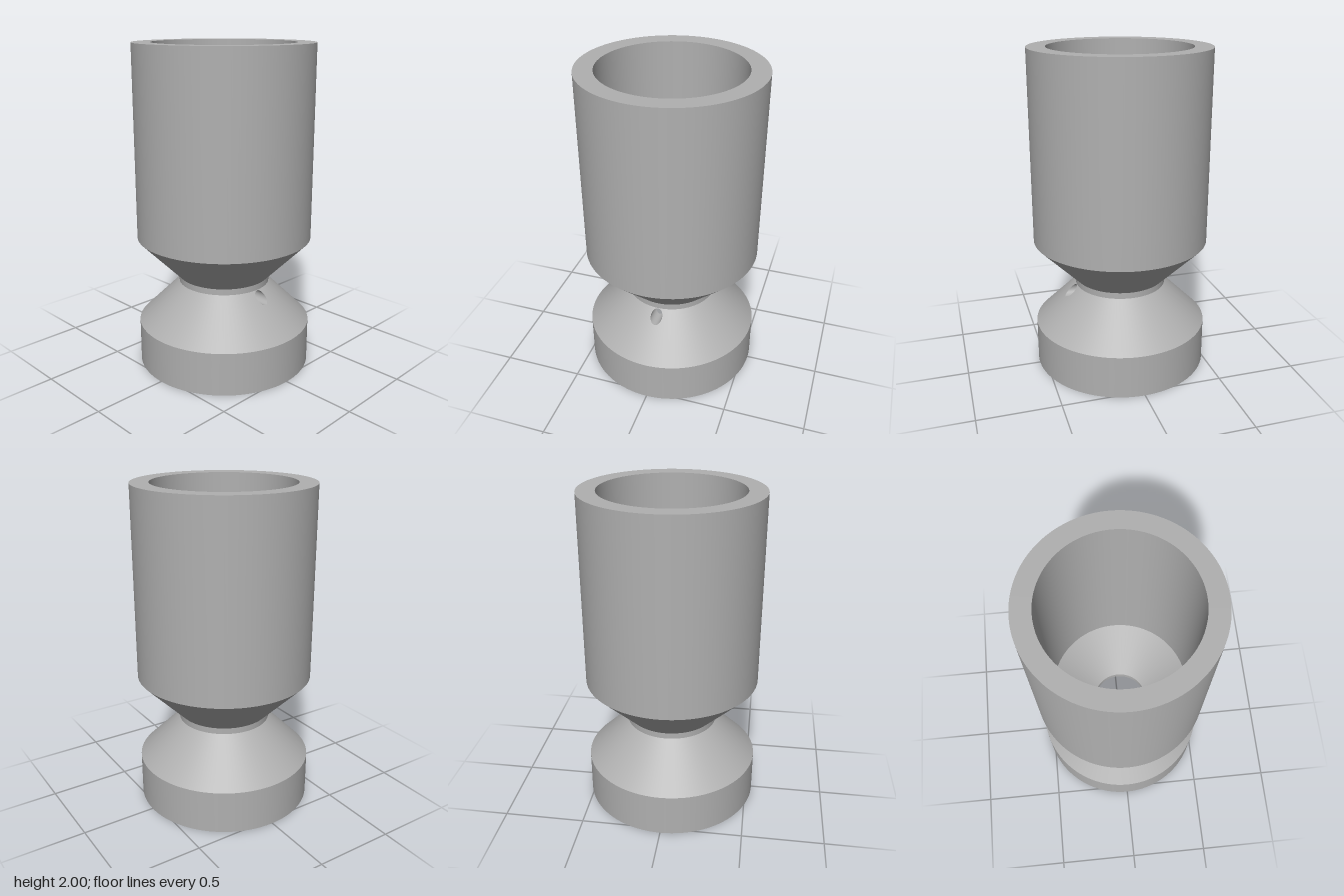
import * as THREE from 'three';
import { ParametricGeometry } from 'three/addons/geometries/ParametricGeometry.js';

const SEGMENTS = 96;
const SECTOR = (Math.PI * 2 * 6) / SEGMENTS; // half angle of the drilled cone sector
const LOW = 0.27, NECK = 0.525; // heights of the lower cone
const HOLE_Y = 0.486, HOLE_R = 0.037;

// Cone radii by height, outside and inside
const outerR = (y) => THREE.MathUtils.mapLinear(y, LOW, NECK, 0.541, 0.284);
const innerR = (y) => THREE.MathUtils.mapLinear(y, LOW, NECK, 0.429, 0.172);

export function createModel() {
  const group = new THREE.Group();
  const grey = new THREE.MeshStandardMaterial({ color: 0xb0b0b0, side: THREE.DoubleSide });
  grey.name = 'grey';

  const add = (name, geometry) => {
    const mesh = new THREE.Mesh(geometry, grey);
    mesh.name = name;
    group.add(mesh);
  };

  // One straight band of the turned body, so every edge stays sharp
  const band = (name, r0, y0, r1, y1, start = 0, length = Math.PI * 2) => {
    const points = [new THREE.Vector2(r0, y0), new THREE.Vector2(r1, y1)];
    add(name, new THREE.LatheGeometry(points, SEGMENTS, start, length));
  };

  // Outside, from the base up
  band('baseWall', 0.541, 0, 0.541, LOW);
  band('neckWall', 0.284, NECK, 0.284, 0.563);
  band('upperCone', 0.284, 0.563, 0.541, 0.822);
  band('cupWall', 0.541, 0.822, 0.541, 2);

  // Rim and inside, from the top down
  band('topRim', 0.541, 2, 0.429, 2);
  band('cupInside', 0.429, 2, 0.429, 0.822);
  band('funnelInside', 0.429, 0.822, 0.172, 0.563);
  band('neckBore', 0.172, 0.563, 0.172, NECK);
  band('baseInside', 0.429, LOW, 0.429, 0);
  band('bottomRim', 0.429, 0, 0.541, 0);

  // Lower cones, leaving out the drilled sector on the +x side
  const start = Math.PI / 2 + SECTOR, length = 2 * (Math.PI - SECTOR);
  band('lowerCone', 0.541, LOW, 0.284, NECK, start, length);
  band('lowerConeInside', 0.172, NECK, 0.429, LOW, start, length);

  // Cone sector with a round hole: blends from the hole edge to the sector border
  const drilledSector = (name, radius, direction) => {
    add(name, new ParametricGeometry((u, v, target) => {
      const a = direction * u * Math.PI * 2;
      const c = Math.cos(a), s = Math.sin(a), k = 1 / Math.max(Math.abs(c), Math.abs(s));
      const holeY = HOLE_Y + HOLE_R * s;
      const holeAngle = Math.asin((HOLE_R * c) / radius(holeY));
      const angle = THREE.MathUtils.lerp(holeAngle, SECTOR * c * k, v);
      const y = THREE.MathUtils.lerp(holeY, (LOW + NECK) / 2 + ((NECK - LOW) / 2) * s * k, v);
      const r = radius(y);
      target.set(r * Math.cos(angle), y, r * Math.sin(angle));
    }, 64, 10));
  };
  drilledSector('drilledCone', outerR, 1);
  drilledSector('drilledConeInside', innerR, -1);

  // Wall of the side hole, running through the cone
  add('sideHole', new ParametricGeometry((u, v, target) => {
    const a = u * Math.PI * 2;
    const y = HOLE_Y + HOLE_R * Math.sin(a), z = HOLE_R * Math.cos(a);
    const edge = (radius) => Math.sqrt(radius(y) ** 2 - z * z);
    target.set(THREE.MathUtils.lerp(edge(innerR), edge(outerR), v), y, z);
  }, 64, 1));

  return group;
}
